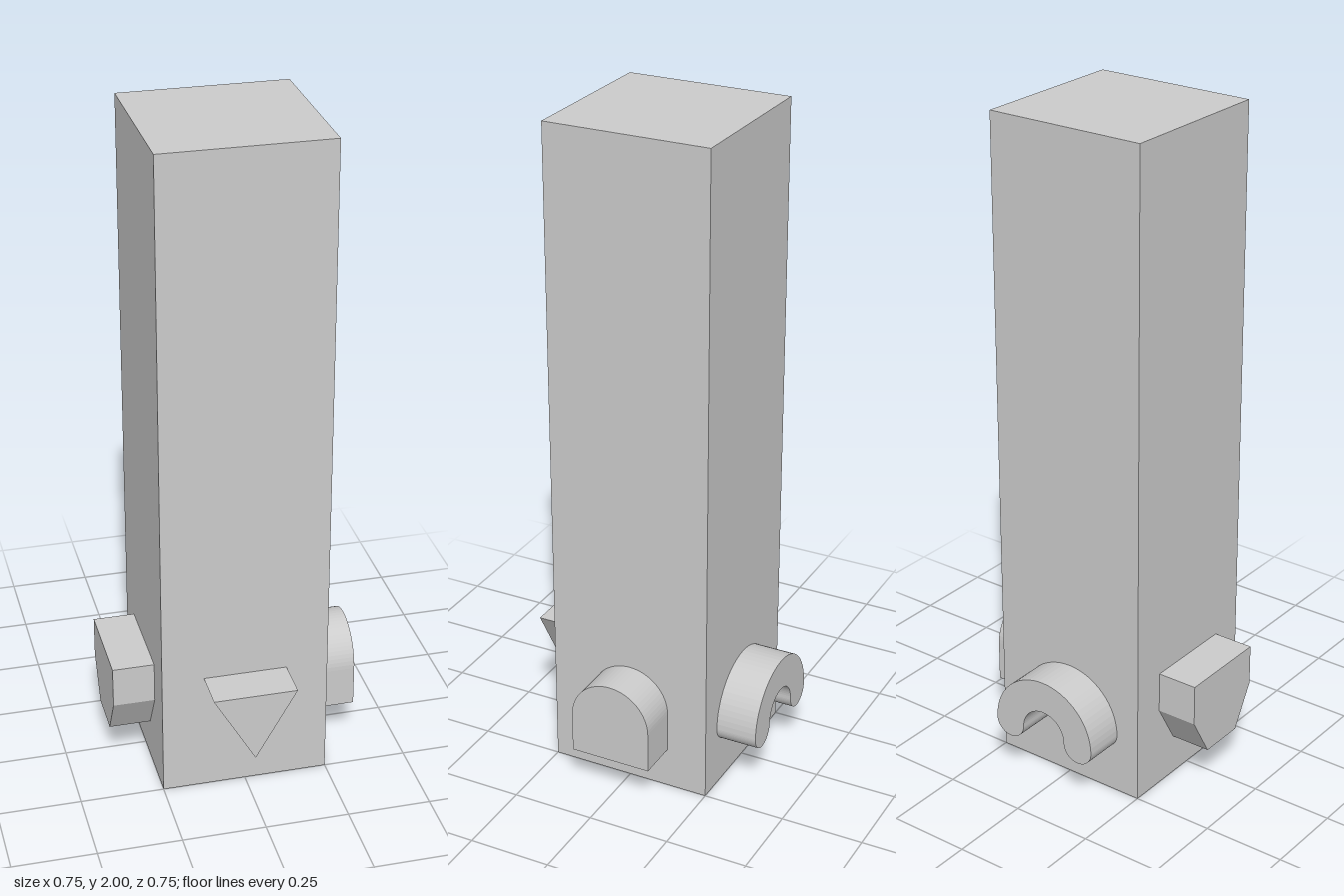
import * as THREE from 'three';

const material = new THREE.MeshStandardMaterial({ color: 0xcccccc });
const HALF = 0.25;    // half the post's width
const DEPTH = 0.125;  // how far each peg stands out

function polygon(points) {
  return new THREE.Shape(points.map(([x, y]) => new THREE.Vector2(x, y)));
}

// Extrudes a shape outwards from one face of the post; turn is about y, 0 = front
function peg(name, shape, y, turn) {
  const geometry = new THREE.ExtrudeGeometry(shape, { depth: DEPTH, bevelEnabled: false, curveSegments: 16 });
  geometry.translate(0, y, HALF);
  const mesh = new THREE.Mesh(geometry, material);
  mesh.name = name;
  mesh.rotation.y = turn;
  return mesh;
}

export function createModel() {
  const model = new THREE.Group();
  model.name = 'postWithPegs';

  // Square post
  const post = new THREE.Mesh(new THREE.BoxGeometry(2 * HALF, 2, 2 * HALF), material);
  post.name = 'post';
  post.position.y = 1;
  model.add(post);

  // Front: equilateral triangle pointing down
  const triangle = polygon([[-0.125, 0.125], [0, -0.0915], [0.125, 0.125]]);
  model.add(peg('trianglePeg', triangle, 0.25, 0));

  // Left: round-topped arch
  const arch = new THREE.Shape();
  arch.moveTo(-0.125, -0.125);
  arch.lineTo(0.125, -0.125);
  arch.lineTo(0.125, 0);
  arch.absarc(0, 0, 0.125, 0, Math.PI, false);
  arch.closePath();
  model.add(peg('archPeg', arch, 0.25, Math.PI / 2));

  // Back: half ring with rounded ends
  const ring = new THREE.Shape();
  ring.absarc(0, 0, 0.175, 0, Math.PI, false);
  ring.absarc(-0.125, 0, 0.05, Math.PI, 2 * Math.PI, false);
  ring.absarc(0, 0, 0.075, Math.PI, 0, true);
  ring.absarc(0.125, 0, 0.05, Math.PI, 2 * Math.PI, false);
  model.add(peg('halfRingPeg', ring, 0.19, Math.PI));

  // Right: straight sides above, tapering to a narrow base
  const shield = polygon([
    [-0.144, 0.125], [-0.144, 0], [-0.072, -0.125],
    [0.072, -0.125], [0.144, 0], [0.144, 0.125],
  ]);
  model.add(peg('shieldPeg', shield, 0.25, -Math.PI / 2));

  return model;
}
